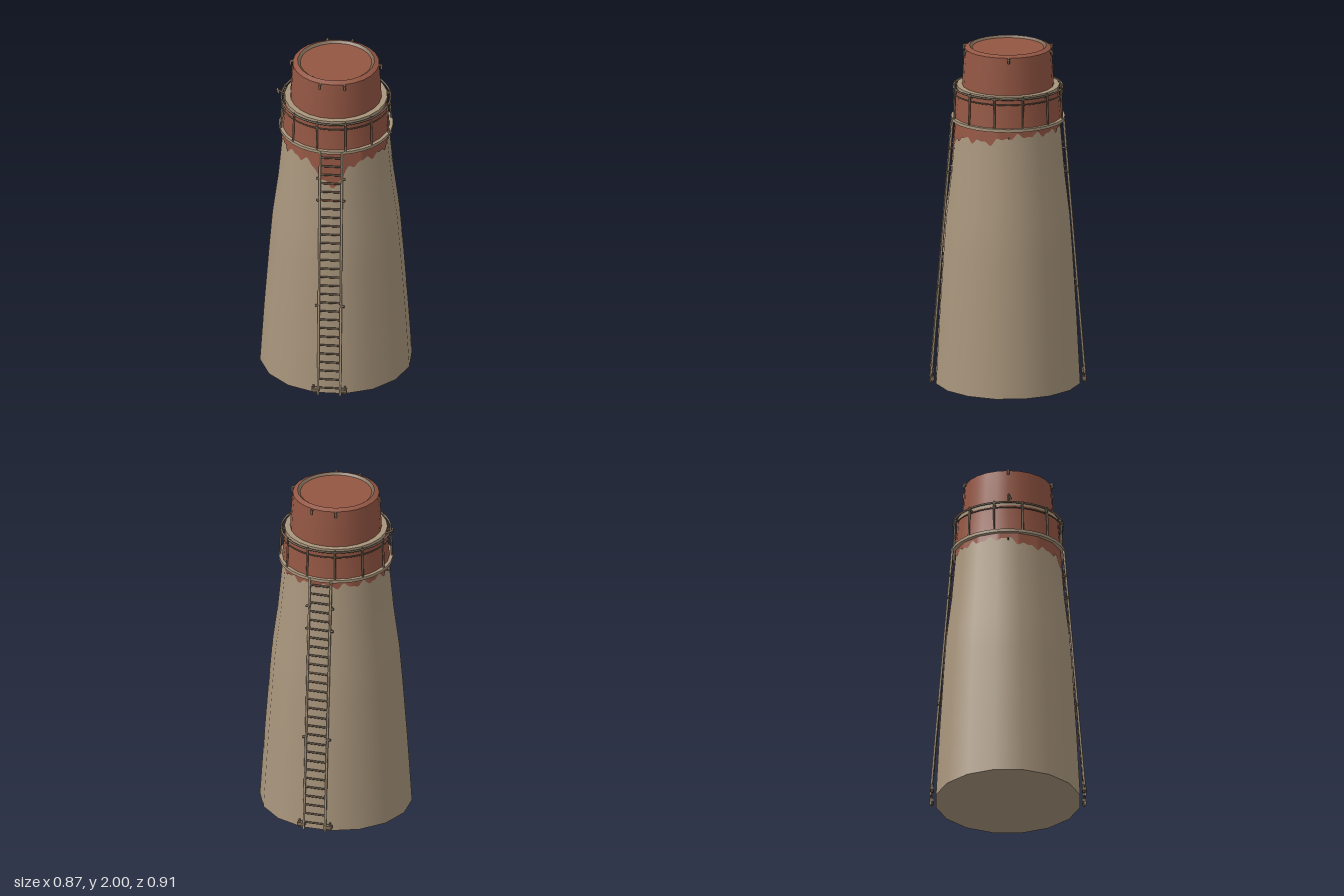
import * as THREE from 'three';

const mat = (name, color) => {
  const m = new THREE.MeshStandardMaterial({ color, side: THREE.DoubleSide });
  m.name = name;
  return m;
};

export function createModel() {
  const model = new THREE.Group();
  model.name = 'tower';
  const beige = mat('weathered beige', 0xa8957c);
  const red = mat('rust red', 0x935643);
  const metal = mat('dull metal', 0x7d6a57);

  const add = (name, geometry, material, parent = model) => {
    const mesh = new THREE.Mesh(geometry, material);
    mesh.name = name;
    parent.add(mesh);
    return mesh;
  };
  // Open smooth wall turned around the y axis
  const wall = (name, pts, sides, material, start = 0) =>
    add(name, new THREE.LatheGeometry(pts.map(p => new THREE.Vector2(...p)), sides, start), material);
  // Flat ring or disc facing up
  const disc = (name, inner, outer, y, sides, material) => {
    const g = inner ? new THREE.RingGeometry(inner, outer, sides) : new THREE.CircleGeometry(outer, sides);
    return add(name, g.rotateX(-Math.PI / 2).translate(0, y, 0), material);
  };
  // Straight bar between two points
  const rod = (name, a, b, r, material, parent) => {
    const va = new THREE.Vector3(...a), d = new THREE.Vector3(...b).sub(va);
    const mesh = add(name, new THREE.CylinderGeometry(r, r, d.length(), 6), material, parent);
    mesh.position.copy(va).addScaledVector(d, 0.5);
    mesh.quaternion.setFromUnitVectors(new THREE.Vector3(0, 1, 0), d.normalize());
    return mesh;
  };
  const hoop = (name, r, tube, y, material) =>
    add(name, new THREE.TorusGeometry(r, tube, 6, 48).rotateX(Math.PI / 2).translate(0, y, 0), material);
  const polar = (r, a, y) => [r * Math.sin(a), y, r * Math.cos(a)];

  // Tapered sixteen-sided body, slightly narrower front to back at the foot
  const profile = [[0.441, 0], [0.415, 0.4], [0.385, 0.8], [0.368, 1], [0.335, 1.25], [0.304, 1.57]];
  const squash = y => 1 - 0.04 * (1 - y / 1.57);
  const body = wall('towerBody', profile, 16, beige, Math.PI / 16);
  const bp = body.geometry.attributes.position;
  for (let i = 0; i < bp.count; i++) bp.setZ(i, bp.getZ(i) * squash(bp.getY(i)));
  const base = new THREE.CircleGeometry(0.441, 16, Math.PI / 16).rotateX(Math.PI / 2);
  add('towerBase', base.scale(1, 1, squash(0)), beige);

  // Ragged paint edge under the gallery, running lowest behind the front ladder
  const step = Math.PI / 8;
  const radiusAt = y => {
    const i = Math.max(1, profile.findIndex(p => p[1] >= y));
    const [r0, y0] = profile[i - 1], [r1, y1] = profile[i];
    return r0 + (r1 - r0) * (y - y0) / (y1 - y0);
  };
  const onBody = (a, y) => {
    const r = radiusAt(y) * Math.cos(step / 2) / Math.cos(a - Math.round(a / step) * step) + 0.004;
    return [r * Math.sin(a), y, r * Math.cos(a) * squash(y)];
  };
  const paintEdge = a => {
    const wobble = 0.012 * Math.sin(a * 17) + 0.008 * Math.sin(a * 31 + 1);
    const front = THREE.MathUtils.smoothstep(Math.cos(a), -0.1, 0.4);
    const run = Math.cos(a) > 0 ? 0.15 * Math.exp(-((Math.sin(a) * 0.31 / 0.085) ** 2)) : 0;
    return 1.565 - 0.036 - front * 0.038 - run - wobble;
  };
  const cols = 160, rows = 4, pos = [], idx = [];
  for (let i = 0; i <= cols; i++) {
    const a = -Math.PI + (i / cols) * Math.PI * 2, low = paintEdge(a);
    for (let j = 0; j <= rows; j++) pos.push(...onBody(a, low + (1.565 - low) * j / rows));
  }
  for (let i = 0; i < cols; i++) for (let j = 0; j < rows; j++) {
    const p = i * (rows + 1) + j, q = p + rows + 1;
    idx.push(p, q, p + 1, q, q + 1, p + 1);
  }
  const paint = new THREE.BufferGeometry();
  paint.setAttribute('position', new THREE.Float32BufferAttribute(pos, 3));
  paint.setIndex(idx);
  paint.computeVertexNormals();
  add('paintRuns', paint, red);

  // Gallery deck, drum and ledge
  wall('galleryEdge', [[0.329, 1.562], [0.329, 1.58]], 32, beige);
  disc('galleryDeck', 0.28, 0.329, 1.58, 32, beige);
  disc('galleryUnderside', 0.28, 0.329, 1.562, 32, beige).name = 'galleryUnderside';
  wall('drum', [[0.31, 1.578], [0.3, 1.67], [0.294, 1.755]], 24, red);
  wall('drumLip', [[0.297, 1.745], [0.297, 1.765]], 24, beige);
  disc('drumLedge', 0.25, 0.297, 1.765, 24, beige);

  // Upper drum with bevelled rim and closed top
  wall('upperDrum', [[0.264, 1.765], [0.258, 1.88], [0.25, 1.985]], 24, red);
  wall('upperRim', [[0.25, 1.985], [0.222, 1.997]], 24, red);
  wall('rimInside', [[0.222, 1.997], [0.207, 1.985]], 24, metal);
  disc('roof', 0, 0.208, 1.985, 24, red);

  // Gallery railing
  hoop('topRail', 0.315, 0.006, 1.755, metal);
  hoop('lowerRail', 0.315, 0.004, 1.722, metal);
  for (let i = 0; i < 12; i++) {
    const a = (i + 0.5) * Math.PI / 6;
    rod('railPost', polar(0.322, a, 1.575), polar(0.315, a, 1.765), 0.006, metal);
    rod('railBracket', polar(0.29, a, 1.74), polar(0.32, a, 1.752), 0.006, metal);
  }

  // Small lugs around the rim, and side spikes
  for (const a of [0.28, -0.28, Math.PI / 2, -Math.PI / 2, Math.PI - 0.28, Math.PI + 0.28]) {
    rod('rimLug', polar(0.235, a, 1.982), polar(0.268, a, 1.978), 0.007, metal);
    rod('rimLugTip', polar(0.264, a, 1.985), polar(0.264, a, 1.955), 0.007, metal);
  }
  for (const s of [1, -1]) rod('sideSpike', [s * 0.29, 1.52, 0], [s * 0.325, 1.525, 0], 0.005, metal);
  rod('hookArm', [-0.3, 1.76, 0], [-0.345, 1.785, 0], 0.006, metal);
  rod('hookTip', [-0.34, 1.795, 0], [-0.33, 1.765, 0.015], 0.007, metal);

  // Leaning ladders, front and back
  const zAt = y => 0.446 - 0.08 * y;
  const makeLadder = name => {
    const g = new THREE.Group();
    g.name = name;
    for (const s of [1, -1]) {
      const x = s * 0.064;
      rod('ladderRail', [x, 0.005, zAt(0)], [x, 1.575, zAt(1.575)], 0.007, beige, g);
      add('ladderFoot', new THREE.BoxGeometry(0.045, 0.02, 0.025), metal, g).position.set(s * 0.08, 0.035, 0.438);
      rod('footPin', [s * 0.092, 0.012, 0.438], [s * 0.092, 0.062, 0.436], 0.006, metal, g);
      for (const y of [0.58, 1.26, 1.4]) {
        rod('wallBracket', [x, y, zAt(y) + 0.006], [x, y, radiusAt(y) * 0.94], 0.006, metal, g);
        rod('bracketPin', [s * 0.06, y, zAt(y)], [s * 0.084, y, zAt(y)], 0.007, metal, g);
      }
    }
    for (let i = 0; i < 28; i++) {
      const y = 0.05 + i * 0.055;
      rod('rung', [-0.064, y, zAt(y)], [0.064, y, zAt(y)], 0.0055, i === 22 && name === 'frontLadder' ? red : metal, g);
    }
    model.add(g);
    return g;
  };
  makeLadder('frontLadder');
  makeLadder('backLadder').rotation.y = Math.PI;

  return model;
}
